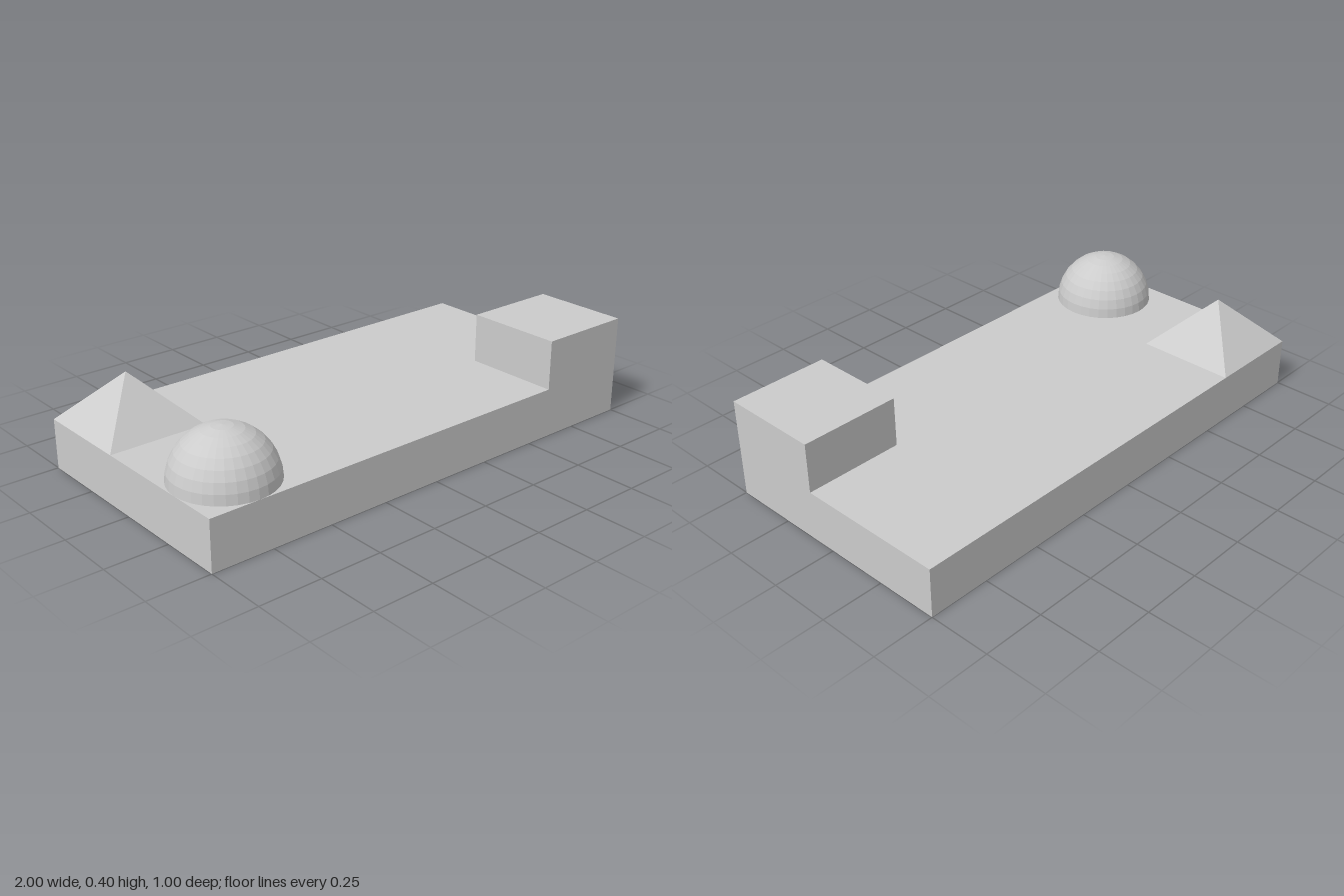
import * as THREE from 'three';

export function createModel() {
  const model = new THREE.Group();
  const material = new THREE.MeshStandardMaterial({ color: 0xcccccc, flatShading: true });

  const add = (name, geometry, x, y, z) => {
    const mesh = new THREE.Mesh(geometry, material);
    mesh.name = name;
    mesh.position.set(x, y, z);
    model.add(mesh);
  };

  const top = 0.2; // upper face of the slab
  const size = 0.4; // footprint of each raised solid
  const height = 0.2;

  // Base plate
  add('baseSlab', new THREE.BoxGeometry(2, top, 1), 0, top / 2, 0);

  // Block flush with the front left corner
  add('cornerBlock', new THREE.BoxGeometry(size, height, size), 0.8, top + height / 2, 0.3);

  // Faceted hemisphere at the front right corner
  add('dome', new THREE.SphereGeometry(size / 2, 32, 8, 0, Math.PI * 2, 0, Math.PI / 2), -0.8, top, 0.3);

  // Square pyramid at the back right corner, sides turned parallel to the slab
  const pyramid = new THREE.ConeGeometry(size / Math.SQRT2, height, 4).rotateY(Math.PI / 4);
  add('pyramid', pyramid, -0.8, top + height / 2, -0.3);

  return model;
}
